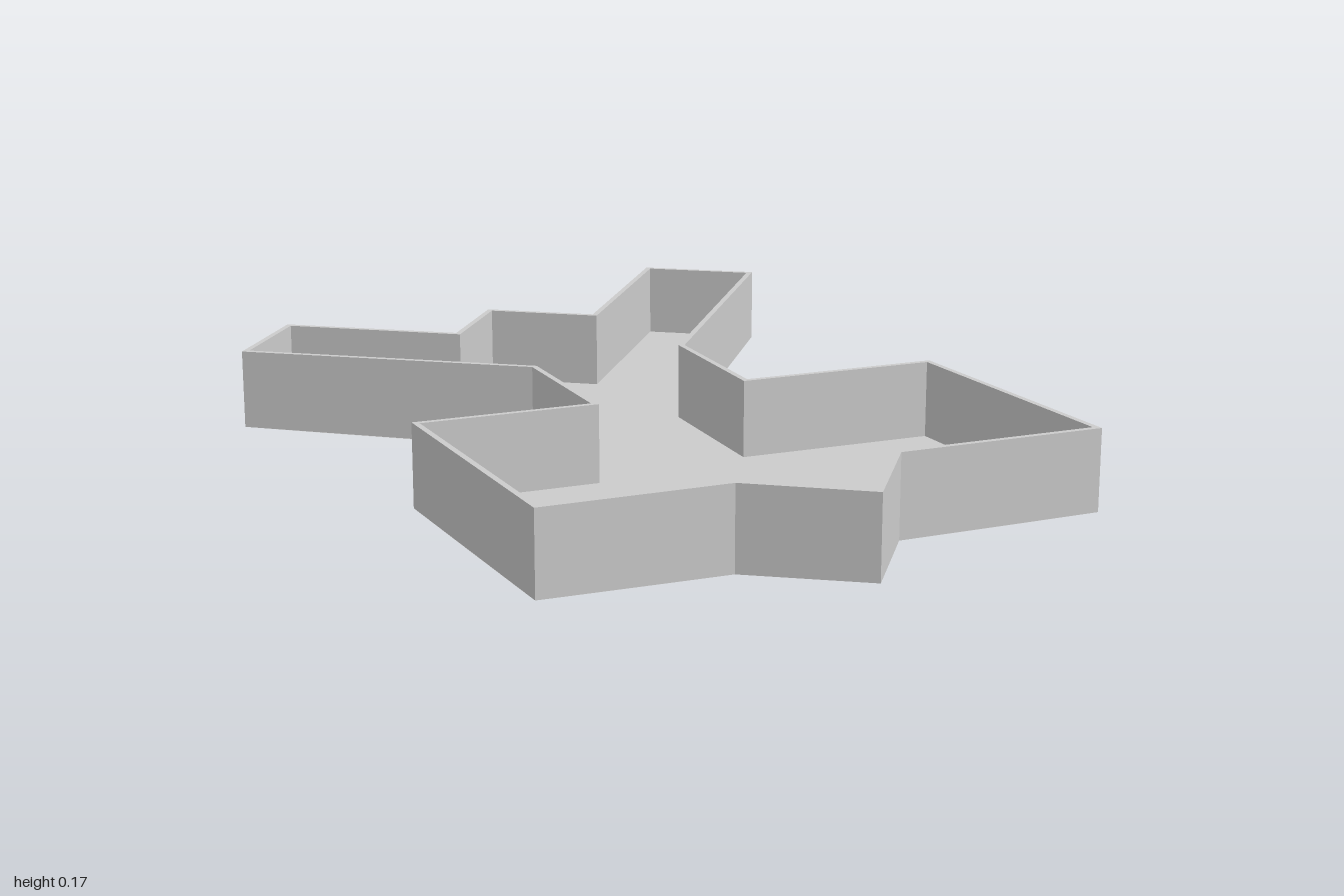
import * as THREE from 'three';

// Tray outline seen from above as (x, z), clockwise
const OUTLINE = [
  [-0.265, -1], [0, -1], [0, -0.205], [0.185, 0.06], [0.525, -0.18], [0.9, 0.285],
  [0.555, 0.53], [0.555, 0.785], [0.3, 0.785], [0, 1], [-0.37, 0.525], [-0.075, 0.315],
  [-0.265, 0.055], [-0.9, 0.055], [-0.9, -0.21], [-0.51, -0.21], [-0.51, -0.455], [-0.265, -0.455],
].map(([x, z]) => new THREE.Vector2(x, -z));
const WALL = 0.012, TOP = 0.173, SAG = 0.01;

// Height of the underside: lowest in the middle
const bottomY = (x, z) => SAG * Math.min(1, x * x + z * z);

// Mitred inward offset of a clockwise outline
function inset(points, d) {
  const n = points.length;
  const normal = (a, b) => new THREE.Vector2(b.y - a.y, a.x - b.x).normalize();
  return points.map((p, i) => {
    const a = normal(points[(i + n - 1) % n], p);
    const b = normal(p, points[(i + 1) % n]);
    return a.clone().add(b).multiplyScalar(d / (1 + a.dot(b))).add(p);
  });
}

// Splits every triangle into four
function subdivide(tris) {
  return tris.flatMap(([a, b, c]) => {
    const ab = a.clone().lerp(b, 0.5), bc = b.clone().lerp(c, 0.5), ca = c.clone().lerp(a, 0.5);
    return [[a, ab, ca], [ab, b, bc], [ca, bc, c], [ab, bc, ca]];
  });
}

export function createModel() {
  const group = new THREE.Group();
  const material = new THREE.MeshStandardMaterial({
    color: 0xcccccc, flatShading: true, side: THREE.DoubleSide,
  });
  const add = (name, geometry) => {
    const mesh = new THREE.Mesh(geometry, material);
    mesh.name = name;
    group.add(mesh);
  };
  const inner = inset(OUTLINE, WALL);

  // Thin wall around the whole outline, its foot following the underside
  const ring = new THREE.Shape(OUTLINE);
  ring.holes.push(new THREE.Path([...inner].reverse()));
  const wall = new THREE.ExtrudeGeometry(ring, { depth: TOP, bevelEnabled: false })
    .rotateX(-Math.PI / 2);
  const pos = wall.attributes.position;
  for (let i = 0; i < pos.count; i++) {
    if (pos.getY(i) < TOP / 2) pos.setY(i, bottomY(pos.getX(i), pos.getZ(i)));
  }
  add('wall', wall);

  // Inside floor
  add('floor', new THREE.ShapeGeometry(new THREE.Shape(inner))
    .rotateX(-Math.PI / 2).translate(0, SAG + 0.004, 0));

  // Underside, sagging very slightly towards the middle
  const flat = new THREE.ShapeGeometry(new THREE.Shape(OUTLINE)).toNonIndexed().attributes.position;
  const corner = (i) => new THREE.Vector3().fromBufferAttribute(flat, i);
  let tris = [];
  for (let i = 0; i < flat.count; i += 3) tris.push([corner(i), corner(i + 2), corner(i + 1)]);
  for (let k = 0; k < 3; k++) tris = subdivide(tris);
  const sagged = tris.flat().map((p) => new THREE.Vector3(p.x, bottomY(p.x, p.y), -p.y));
  const underside = new THREE.BufferGeometry().setFromPoints(sagged);
  underside.computeVertexNormals();
  add('underside', underside);

  return group;
}
